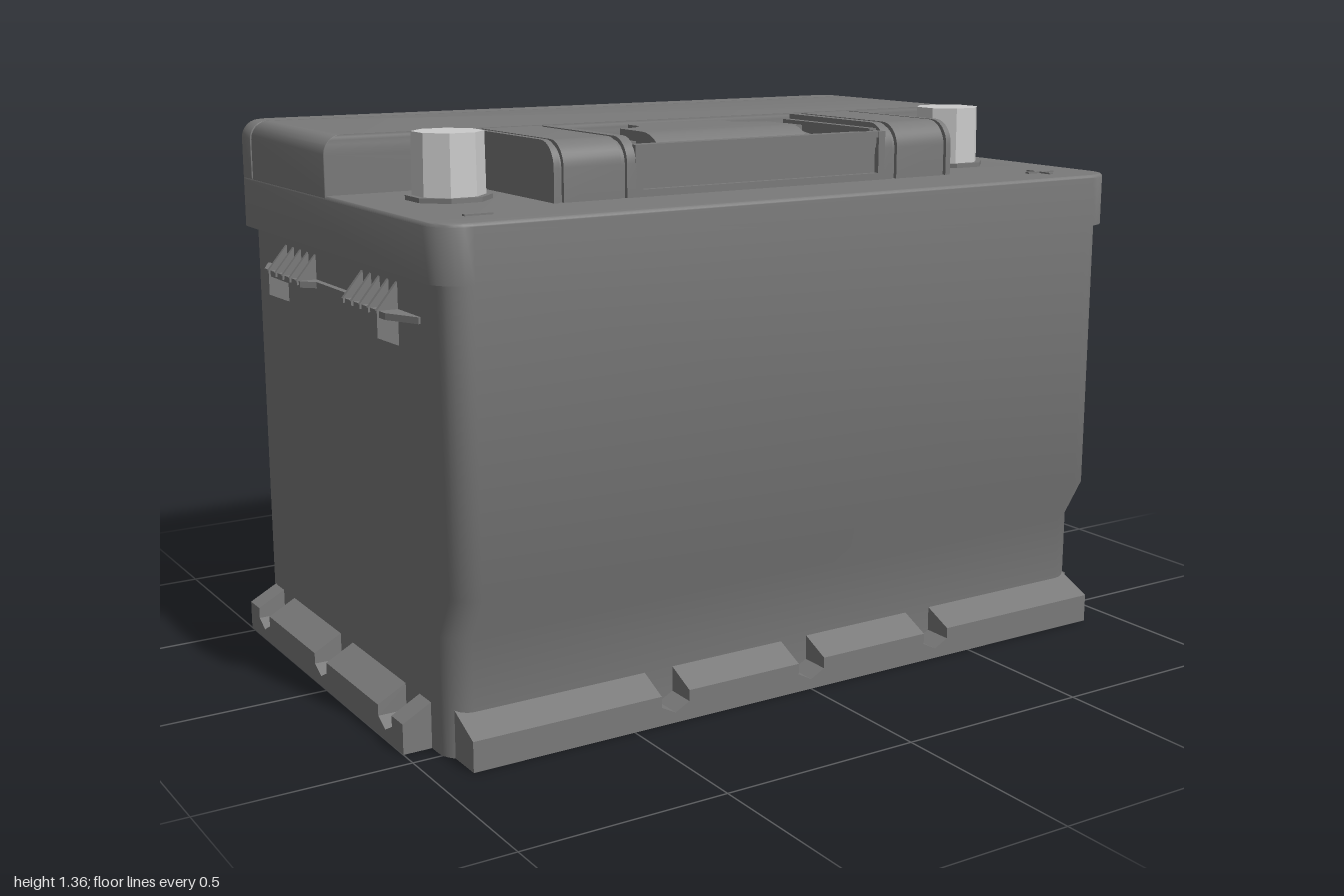
import * as THREE from 'three';
import { toCreasedNormals } from 'three/addons/utils/BufferGeometryUtils.js';

const caseMat = new THREE.MeshStandardMaterial({ color: 0x7a7a7a });
const metalMat = new THREE.MeshStandardMaterial({ color: 0xcccccc });

// Rounded-rectangle ring at height y: half width w, back/front z, back/front corner radii
function ring(y, w, zb, zf, rb, rf) {
  const pts = [];
  const corners = [[w, zf, rf, 1, 1, 0], [w, zb, rb, 1, -1, 1], [-w, zb, rb, -1, -1, 2], [-w, zf, rf, -1, 1, 3]];
  for (const [x, z, r, sx, sz, k] of corners) {
    for (let i = 0; i <= 6; i++) {
      const a = Math.PI / 2 * (1 - k + -i / 6);
      pts.push([x - sx * r + r * Math.cos(a), y, z - sz * r + r * Math.sin(a)]);
    }
  }
  return pts;
}

// Closed skin through equal-length rings, capped at both ends
function loft(rings) {
  const n = rings[0].length, pos = rings.flat(2), idx = [];
  for (let j = 0; j < rings.length - 1; j++) {
    for (let i = 0; i < n; i++) {
      const a = j * n + i, b = j * n + (i + 1) % n;
      idx.push(a, a + n, b, b, a + n, b + n);
    }
  }
  const last = (rings.length - 1) * n;
  for (let i = 1; i < n - 1; i++) {
    idx.push(0, i, i + 1);
    idx.push(last, last + i + 1, last + i);
  }
  // rings run clockwise seen from above, so turn every face outward
  for (let i = 0; i < idx.length; i += 3) [idx[i + 1], idx[i + 2]] = [idx[i + 2], idx[i + 1]];
  const g = new THREE.BufferGeometry();
  g.setAttribute('position', new THREE.Float32BufferAttribute(pos, 3));
  g.setIndex(idx);
  return toCreasedNormals(g, 0.6);
}

// Block with straight walls and a rounded top edge
function softBlock(y0, y1, w, zb, zf, rb, rf, e, roundBack, roundFront) {
  const rings = [ring(y0, w, zb, zf, rb, rf)];
  for (let i = 0; i <= 6; i++) {
    const a = i / 6 * Math.PI / 2, d = e * (1 - Math.cos(a));
    rings.push(ring(y1 - e + e * Math.sin(a), w - d, zb + (roundBack ? d : 0), zf - (roundFront ? d : 0),
      roundBack ? rb - d : rb, roundFront ? rf - d : rf));
  }
  return loft(rings);
}

function extrude(pts, depth) {
  const shape = new THREE.Shape(pts.map(p => new THREE.Vector2(p[0], p[1])));
  return new THREE.ExtrudeGeometry(shape, { depth, bevelEnabled: false });
}
// Side profile in [z, y], spanning x0..x1
const slab = (pts, x0, x1) =>
  toCreasedNormals(extrude(pts, x1 - x0).rotateY(-Math.PI / 2).translate(x1, 0, 0), 0.6);
// Plan outline in [x, z], spanning y0..y1
const plate = (pts, y0, y1) => extrude(pts, y1 - y0).rotateX(Math.PI / 2).translate(0, y1, 0);
const box = (x0, x1, y0, y1, z0, z1) =>
  new THREE.BoxGeometry(x1 - x0, y1 - y0, z1 - z0).translate((x0 + x1) / 2, (y0 + y1) / 2, (z0 + z1) / 2);

// [z, y] profile whose top front edge is an arc (rz deep, ry tall)
function roundedProfile(z0, z1, y0, y1, rz, ry) {
  const pts = [[z0, y0], [z1, y0]];
  for (let i = 0; i <= 8; i++) {
    const a = i / 8 * Math.PI / 2;
    pts.push([z1 - rz + rz * Math.cos(a), y1 - ry + ry * Math.sin(a)]);
  }
  pts.push([z0, y1]);
  return pts;
}

// Foot rail with V notches; its outer top edge slopes down
function railGeometry(u0, u1, notches, depth) {
  const pts = [[u0, 0], [u1, 0], [u1, 0.115]], h = 0.038;
  for (const u of [...notches].sort((a, b) => b - a)) {
    pts.push([u + h, 0.115], [u + h, 0.045], [u, 0.025], [u - h, 0.045], [u - h, 0.115]);
  }
  pts.push([u0, 0.115]);
  const g = extrude(pts, depth), p = g.attributes.position;
  for (let i = 0; i < p.count; i++) {
    if (p.getZ(i) > depth / 2) p.setY(i, Math.min(p.getY(i), 0.072));
  }
  g.computeVertexNormals();
  return g;
}

export function createModel() {
  const root = new THREE.Group();
  const add = (name, geo, parent = root, mat = caseMat) => {
    const m = new THREE.Mesh(geo, mat);
    m.name = name;
    parent.add(m);
    return m;
  };
  const group = name => {
    const g = new THREE.Group();
    g.name = name;
    root.add(g);
    return g;
  };

  // Case with a stepped-in lower front
  add('case', loft([[0, 0.545], [0.28, 0.545], [0.38, 0.6], [1.075, 0.6]]
    .map(([y, zf]) => ring(y, 0.93, -0.6, zf, 0.085, 0.06))));

  // Lid: low skirt, raised rear half split by a thin groove
  const lid = group('lid');
  add('lidSkirt', softBlock(1.07, 1.2, 0.955, -0.615, 0.61, 0.08, 0.08, 0.008, true, true), lid);
  add('lidTopBack', softBlock(1.195, 1.34, 0.955, -0.615, -0.489, 0.08, 0.002, 0.045, true, false), lid);
  add('lidTopFront', softBlock(1.195, 1.34, 0.955, -0.481, 0, 0.002, 0.002, 0.045, false, false), lid);
  add('lidGrooveFloor', softBlock(1.195, 1.33, 0.947, -0.5, -0.47, 0.002, 0.002, 0.045, false, false), lid);

  // Foot rails along the front and both sides
  const rails = group('footRails');
  add('frontRail', railGeometry(-0.91, 0.91, [-0.39, 0, 0.39], 0.095), rails).position.z = 0.525;
  for (const s of [1, -1]) {
    const ends = [-0.45 * s, 0.525 * s].sort((a, b) => a - b);
    const rail = add('sideRail', railGeometry(ends[0], ends[1], [0.352, -0.035, -0.425].map(z => -z * s), 0.08), rails);
    rail.rotation.y = s * Math.PI / 2;
    rail.position.x = s * 0.92;
  }

  // Side grips: thin ledge carrying two sets of ribs
  for (const s of [1, -1]) {
    const grip = group('sideGrip');
    add('gripLedge', plate([[0.92, -0.455], [0.935, -0.455], [0.975, -0.37], [0.975, -0.13], [0.945, -0.1],
      [0.945, 0.1], [0.975, 0.13], [0.975, 0.37], [0.935, 0.455], [0.92, 0.455]], 0.97, 0.985), grip);
    for (const side of [1, -1]) {
      for (let i = 0; i < 5; i++) {
        const low = i === 4;
        const pts = low
          ? [[0.92, 0.9], [0.935, 0.905], [0.98, 0.925], [0.98, 0.985], [0.93, 1.045], [0.92, 1.045]]
          : [[0.92, 0.975], [0.98, 0.975], [0.98, 0.985], [0.93, 1.045], [0.92, 1.045]];
        add('gripRib', extrude(pts, 0.01).translate(0, 0, side * (0.143 + i * 0.0475) - 0.005), grip);
      }
    }
    if (s < 0) grip.rotation.y = Math.PI;
  }

  // Handle housing: rounded shoulder blocks either side of a pocket
  const handle = group('handleHousing');
  for (const s of [1, -1]) {
    const span = (a, b) => (s > 0 ? [a, b] : [-b, -a]);
    add('shoulder', slab(roundedProfile(-0.01, 0.395, 1.195, 1.33, 0.055, 0.055), ...span(0.36, 0.57)), handle);
    for (const [a, b] of [[0.36, 0.385], [0.4, 0.55], [0.56, 0.575]]) {
      add('shoulderBand', slab(roundedProfile(-0.01, 0.405, 1.195, 1.338, 0.06, 0.06), ...span(a, b)), handle);
    }
    // Pocket wall, sloping arm and corner web
    add('pocketWall', box(...span(0.34, 0.362), 1.195, 1.325, -0.01, 0.37), handle);
    add('handleArm', slab([[0.08, 1.195], [0.34, 1.195], [0.34, 1.265], [0.08, 1.3]], ...span(0.255, 0.345)), handle);
    const web = [[0.345, 0], [0.345, 0.085], [0.255, 0.085]].map(([x, z]) => [x * s, z]);
    add('cornerWeb', plate(web, 1.195, 1.315), handle);
  }

  // Front bar with a recessed panel, raised frame and fanned ribs on top
  add('pocketBack', box(-0.345, 0.345, 1.195, 1.315, 0.325, 0.342), handle);
  add('frontBar', box(-0.362, 0.362, 1.195, 1.295, 0.33, 0.39), handle);
  add('panelFrameBottom', box(-0.362, 0.362, 1.195, 1.217, 0.38, 0.405), handle);
  add('panelFrameTop', box(-0.362, 0.362, 1.305, 1.32, 0.385, 0.403), handle);
  add('panelLip', box(-0.345, 0.345, 1.28, 1.31, 0.385, 0.395), handle);
  for (const s of [1, -1]) {
    const x = s * 0.352;
    add('panelFrameSide', box(x - 0.01, x + 0.01, 1.195, 1.32, 0.37, 0.405), handle);
  }
  for (let i = -3; i <= 3; i++) {
    const a = i * 0.072, b = i * 0.09;
    add('fanRib', plate([[a - 0.005, 0.335], [a + 0.005, 0.335], [b + 0.005, 0.39], [b - 0.005, 0.39]], 1.29, 1.313), handle);
  }

  // Finger tongue: flared neck and a front that curls down
  add('tongueNeck', plate([[-0.14, -0.01], [0.14, -0.01], [0.14, 0.055], [0.17, 0.085], [0.22, 0.1],
    [-0.22, 0.1], [-0.17, 0.085], [-0.14, 0.055]], 1.195, 1.33), handle);
  add('tongue', slab(roundedProfile(0.095, 0.3, 1.195, 1.33, 0.1, 0.09), -0.22, 0.22), handle);

  // Octagonal terminals on collars
  for (const x of [-0.735, 0.735]) {
    const terminal = group('terminal');
    terminal.position.set(x, 0, 0.2);
    const octagon = (r0, r1, h) => new THREE.CylinderGeometry(r1, r0, h, 8, 1, false, Math.PI / 8).toNonIndexed();
    for (const [name, r0, r1, h, y, mat] of [['terminalCollar', 0.1, 0.1, 0.014, 1.204, caseMat],
      ['terminalPost', 0.085, 0.083, 0.155, 1.2775, metalMat]]) {
      const g = octagon(r0, r1, h);
      g.computeVertexNormals();
      add(name, g, terminal, mat).position.y = y;
    }
  }

  // Polarity marks
  const marks = group('polarityMarks');
  add('positiveBar', box(0.757, 0.843, 1.195, 1.204, 0.489, 0.501), marks);
  add('positiveCross', box(0.794, 0.806, 1.195, 1.204, 0.452, 0.538), marks);
  add('negativeBar', box(-0.843, -0.775, 1.195, 1.204, 0.489, 0.501), marks);

  return root;
}
